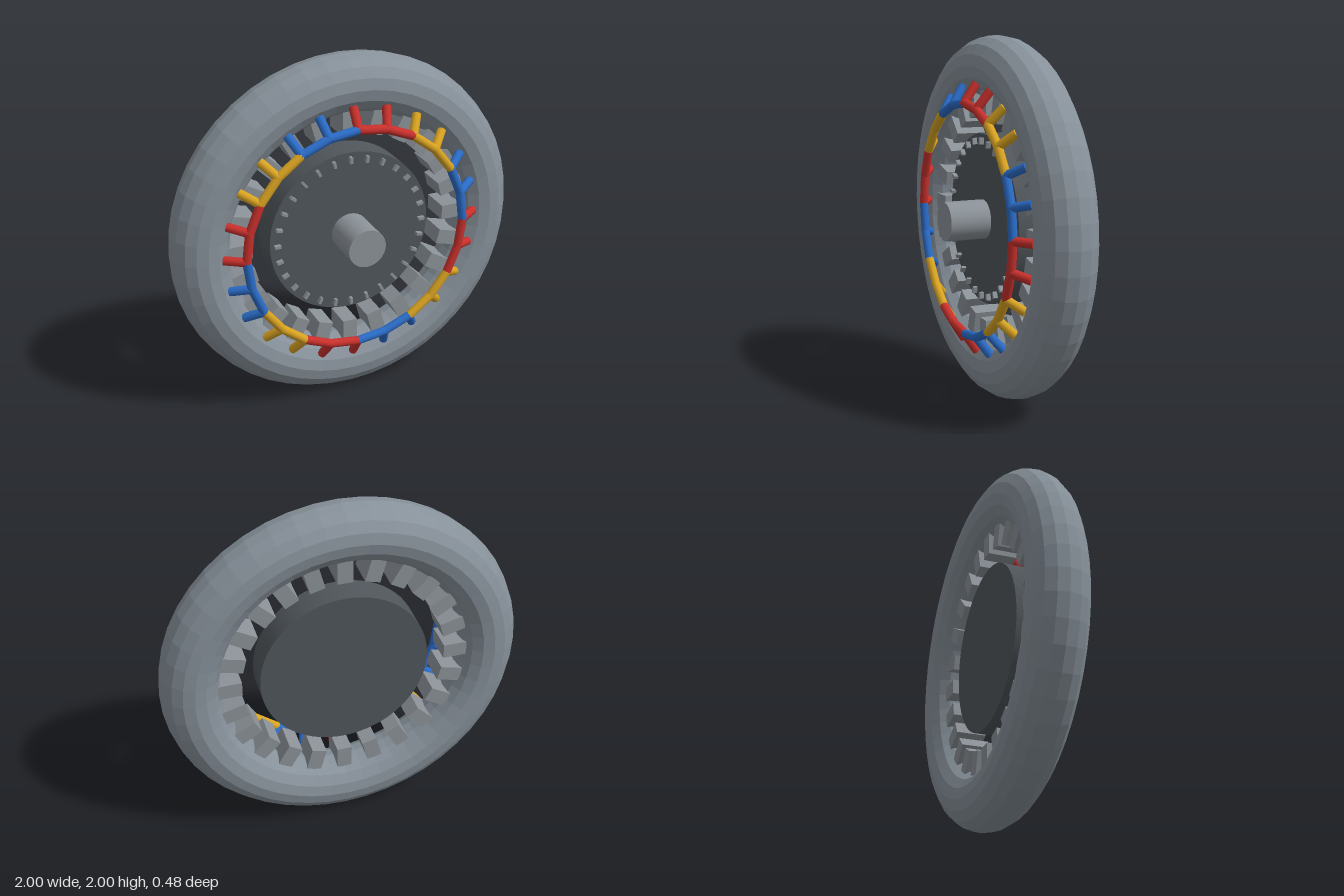
import * as THREE from 'three';

const mat = (name, color, flat = false) => {
  const m = new THREE.MeshStandardMaterial({ color, flatShading: flat });
  m.name = name;
  return m;
};

export function createModel() {
  const model = new THREE.Group();
  model.name = 'wheelMotor';
  const rimGrey = mat('rim grey', 0x87919a, true);
  const steel = mat('steel grey', 0x8b9298);
  const dark = mat('dark rotor grey', 0x50565b);
  const phases = [mat('red', 0xc9302c), mat('yellow', 0xd9a321), mat('blue', 0x2a6cc8)];

  const wheel = new THREE.Group();
  wheel.name = 'wheel';
  wheel.position.y = 1;
  model.add(wheel);

  const add = (name, geometry, material, x = 0, y = 0, z = 0) => {
    const mesh = new THREE.Mesh(geometry, material);
    mesh.name = name;
    mesh.position.set(x, y, z);
    wheel.add(mesh);
    return mesh;
  };
  // Point at a clockwise angle from the top, as seen from the front
  const polar = (r, a, z) => new THREE.Vector3(r * Math.sin(a), r * Math.cos(a), z);
  // Round bar between two points
  const rod = (name, a, b, r, material) => {
    const dir = b.clone().sub(a);
    const mesh = add(name, new THREE.CylinderGeometry(r, r, dir.length(), 10), material);
    mesh.position.copy(a).add(b).multiplyScalar(0.5);
    mesh.quaternion.setFromUnitVectors(new THREE.Vector3(0, 1, 0), dir.normalize());
  };
  const disc = (r, z0, z1) => new THREE.CylinderGeometry(r, r, z1 - z0, 64)
    .rotateX(Math.PI / 2).translate(0, 0, (z0 + z1) / 2);

  // Outer ring
  add('outerRing', new THREE.TorusGeometry(0.838, 0.162, 16, 48), rimGrey, 0, 0, -0.077);

  // Rotor and its axle
  add('rotorDisc', disc(0.47, -0.155, 0.01), dark);
  add('axle', disc(0.108, 0, 0.24), steel);

  // Small pegs around the rotor face
  const peg = new THREE.BoxGeometry(0.016, 0.036, 0.03);
  for (let i = 0; i < 28; i++) {
    const a = i / 28 * Math.PI * 2;
    add('rotorPeg', peg, steel).position.copy(polar(0.43, a, 0.02));
    wheel.children.at(-1).rotation.z = -a;
  }

  // Stator teeth, coil segments and coil legs
  const tooth = new THREE.BoxGeometry(0.085, 0.14, 0.17);
  const step = Math.PI / 12;
  const joint = new THREE.SphereGeometry(0.025, 10, 8);
  for (let i = 0; i < 24; i++) {
    const a = i * step;
    const colour = phases[Math.floor(i / 2) % 3];
    const t = add('statorTooth', tooth, steel);
    t.position.copy(polar(0.638, a, -0.073));
    t.rotation.z = -a;
    const node = polar(0.64, a, 0.121);
    rod('coilSegment', node, polar(0.64, a + step, 0.121), 0.025, colour);
    rod('coilLeg', node, polar(0.745, a, 0.05), 0.025, colour);
    add('coilJoint', joint, colour).position.copy(node);
  }
  return model;
}
